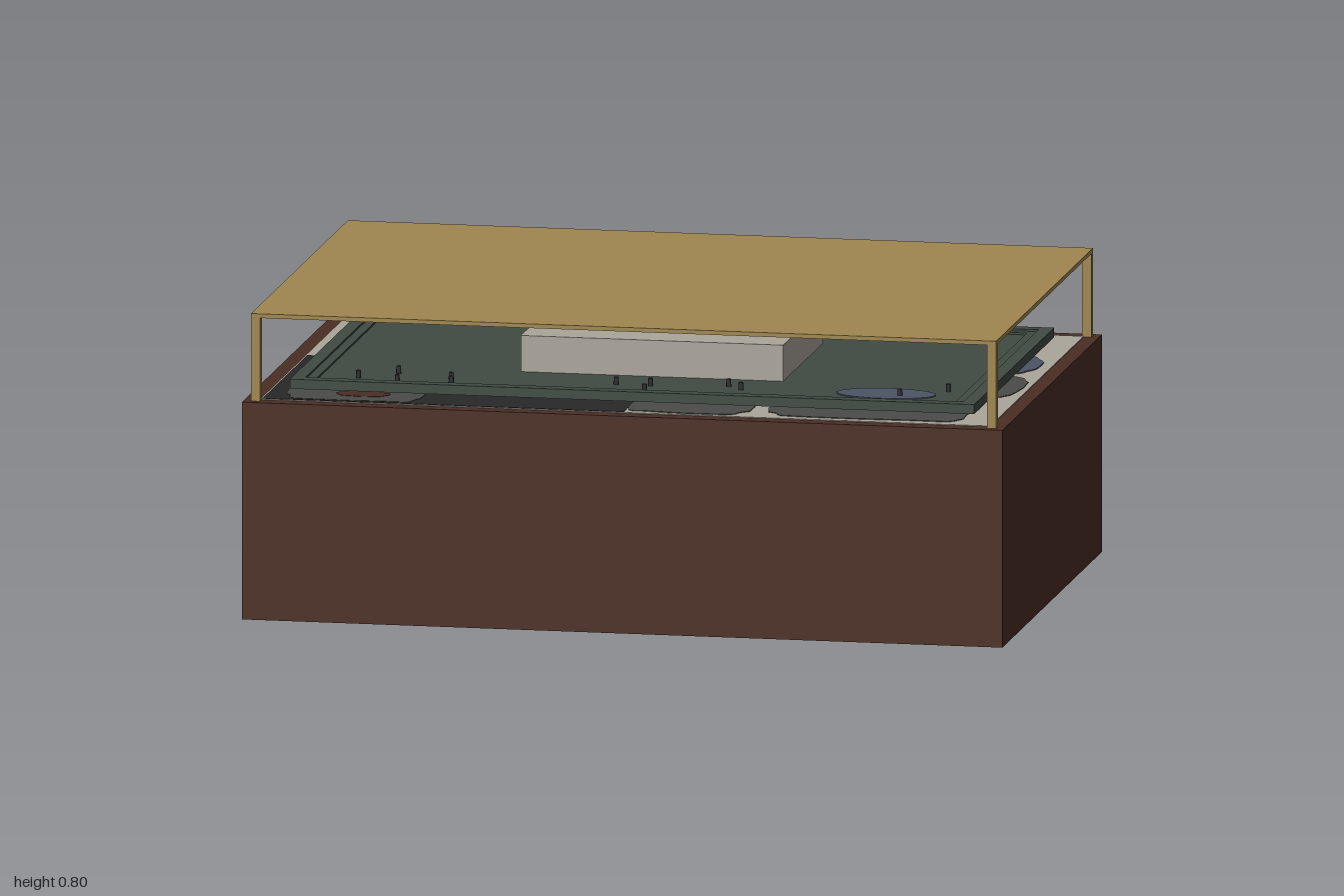
import * as THREE from 'three';

const mat = (name, color, side = THREE.FrontSide) => {
  const m = new THREE.MeshStandardMaterial({ color, side });
  m.name = name;
  return m;
};

export function createModel() {
  const root = new THREE.Group();
  const wood = mat('dark wood', 0x4a2d23);
  const brass = mat('brass', 0xa08650);
  const green = mat('dark green', 0x404b42);
  const stone = mat('pale stone', 0xaaa69b);
  const grey = mat('dark grey', 0x4b4b49);
  const black = mat('black ground', 0x282828);
  const blue = mat('slate blue', 0x4c5566);

  const add = (name, geo, m, x = 0, y = 0, z = 0, parent = root) => {
    const mesh = new THREE.Mesh(geo, m);
    mesh.name = name;
    mesh.position.set(x, y, z);
    parent.add(mesh);
    return mesh;
  };
  // box given by its centre in x and z and by its lower and upper y
  const box = (name, m, w, y0, y1, d, x = 0, z = 0, parent = root) =>
    add(name, new THREE.BoxGeometry(w, y1 - y0, d), m, x, (y0 + y1) / 2, z, parent);
  // flat rectangular ring
  const ring = (name, m, hx, hz, border, y0, y1) => {
    const rect = (path, a, b) =>
      path.moveTo(-a, -b).lineTo(a, -b).lineTo(a, b).lineTo(-a, b).closePath();
    const s = rect(new THREE.Shape(), hx, hz);
    s.holes.push(rect(new THREE.Path(), hx - border, hz - border));
    const g = new THREE.ExtrudeGeometry(s, { depth: y1 - y0, bevelEnabled: false });
    g.rotateX(-Math.PI / 2);
    return add(name, g, m, 0, y0, 0);
  };

  // hollow plinth, open below
  const plinth = new THREE.Group();
  plinth.name = 'plinth';
  root.add(plinth);
  for (const s of [-1, 1]) {
    box('plinthLongWall', wood, 2, 0, 0.57, 0.006, 0, s * 0.664, plinth);
    box('plinthEndWall', wood, 0.006, 0, 0.57, 1.322, s * 0.997, 0, plinth);
  }
  ring('plinthRim', wood, 1, 0.667, 0.045, 0.563, 0.571);

  // ground sheet
  box('paleGround', stone, 1.92, 0.566, 0.573, 1.25);

  // irregular patches reaching through the sheet, visible on both sides
  const patches = new THREE.Group();
  patches.name = 'groundPatches';
  root.add(patches);
  const patch = (name, m, x, z, rx, rz, level, power = 0.45) => {
    const pts = [];
    for (let i = 0; i < 28; i++) {
      const a = (i / 28) * Math.PI * 2, c = Math.cos(a), s = Math.sin(a);
      const wobble = 1 + 0.035 * Math.sin(5 * a + x * 9) + 0.025 * Math.sin(9 * a + z * 7);
      pts.push(new THREE.Vector2(
        Math.sign(c) * Math.abs(c) ** power * rx * wobble,
        Math.sign(s) * Math.abs(s) ** power * rz * wobble));
    }
    const h = 0.009 + level * 0.002;
    const g = new THREE.ExtrudeGeometry(new THREE.Shape(pts), { depth: h, bevelEnabled: false });
    g.rotateX(-Math.PI / 2);
    add(name, g, m, x, 0.5695 - h / 2, z, patches);
  };
  box('blackGround', black, 0.95, 0.565, 0.574, 0.6, -0.48, 0.32, patches);
  patch('greyPatch', grey, 0.15, 0.49, 0.16, 0.12, 1);
  patch('greyPatch', grey, -0.24, 0.18, 0.17, 0.13, 1);
  patch('greyPatch', grey, -0.73, 0.48, 0.18, 0.13, 1);
  patch('greyPatch', grey, 0.62, 0.5, 0.26, 0.1, 1);
  patch('greyPatch', grey, 0.4, -0.5, 0.16, 0.1, 1);
  patch('greyPatch', grey, 0.84, 0.1, 0.1, 0.14, 1);
  patch('bluePatch', blue, -0.59, 0.19, 0.1, 0.09, 2, 0.8);
  patch('bluePatch', blue, 0.85, -0.2, 0.08, 0.12, 2, 0.8);
  patch('bluePatch', blue, 0.14, -0.53, 0.14, 0.07, 2, 0.8);
  patch('brownPatch', wood, -0.71, 0.52, 0.07, 0.035, 2, 0.9);
  patch('blackPatch', black, 0.04, 0.22, 0.04, 0.025, 2, 0.9);
  patch('blackPatch', black, 0.07, 0.29, 0.03, 0.025, 2, 0.9);

  // floating board with a stepped raised edge
  box('board', green, 1.78, 0.585, 0.6, 1.05);
  ring('boardOuterRim', green, 0.9, 0.535, 0.035, 0.585, 0.61);
  ring('boardInnerStep', green, 0.865, 0.5, 0.025, 0.598, 0.605);
  const pond = new THREE.CylinderGeometry(1, 1, 0.004, 24);
  pond.scale(0.13, 1, 0.07);
  add('boardBluePatch', pond, blue, 0.64, 0.601, 0.39);

  // small dark pegs along the front of the board
  const pegs = [[-0.74, 0.43], [-0.65, 0.35], [-0.63, 0.47], [-0.49, 0.46], [-0.5, 0.41],
    [-0.07, 0.39], [0.02, 0.39], [0.02, 0.47], [0.22, 0.36], [0.26, 0.4], [0.68, 0.41],
    [0.79, 0.32], [-0.78, -0.35]];
  const pegGeo = new THREE.CylinderGeometry(0.006, 0.007, 0.022, 8);
  for (const [x, z] of pegs) add('peg', pegGeo, black, x, 0.609, z);

  // central block
  box('centreBlock', stone, 0.69, 0.6, 0.695, 0.534);

  // canopy on four corner posts
  box('canopy', brass, 1.96, 0.79, 0.801, 1.296);
  for (const sx of [-1, 1]) for (const sz of [-1, 1])
    box('cornerPost', brass, 0.024, 0.568, 0.79, 0.024, sx * 0.968, sz * 0.636);

  return root;
}
